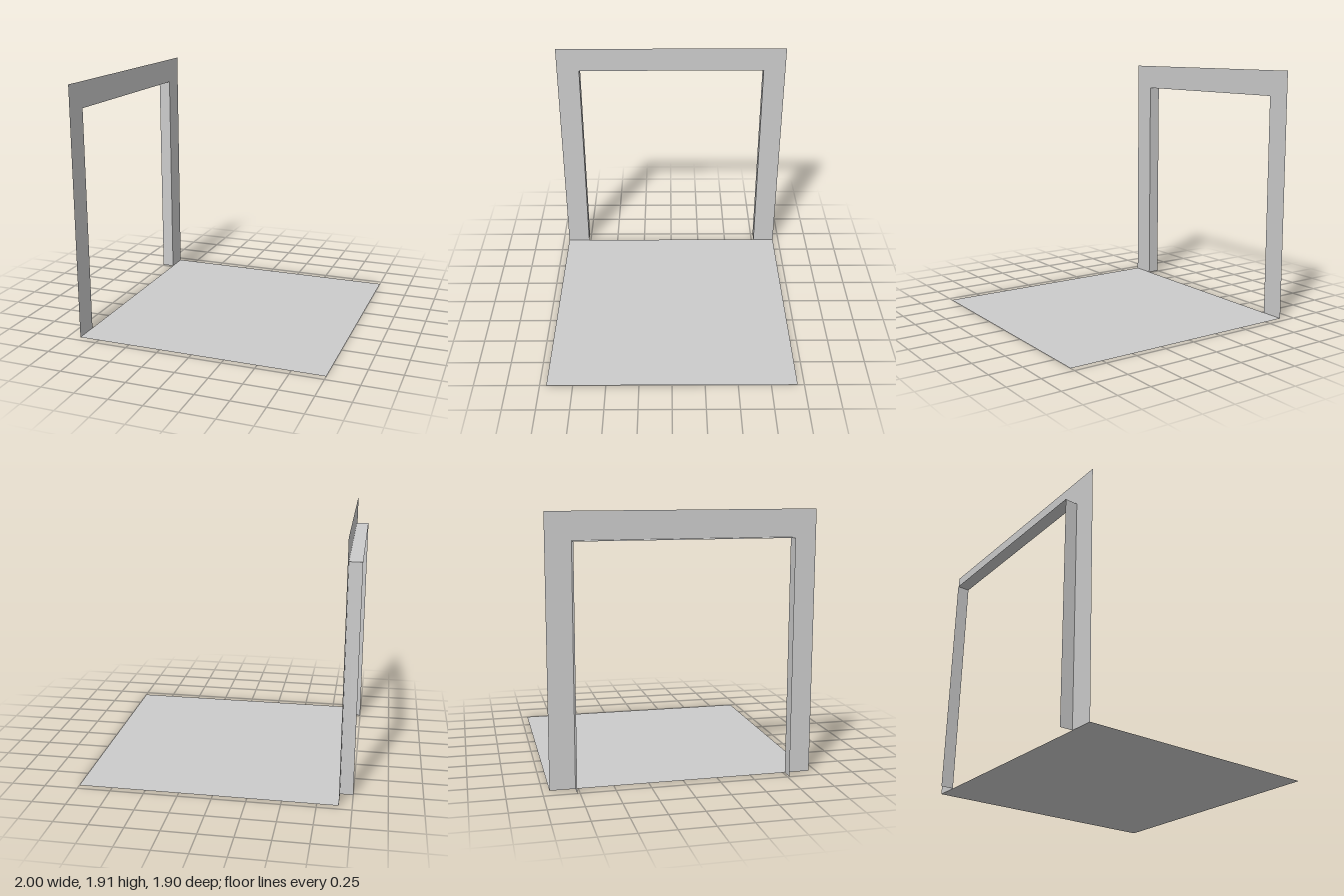
import * as THREE from 'three';

const WALL_X = -0.905, BACK_X = -1, FLOOR_END = 1; // x positions
const HALF = 0.95, TOP = 1.91;                     // wall half width and height
const Z0 = -0.77, Z1 = 0.765, LINTEL = 1.715;      // opening

export function createModel() {
  const group = new THREE.Group();
  const material = new THREE.MeshStandardMaterial({
    color: 0xcccccc, flatShading: true, side: THREE.DoubleSide,
  });
  const add = (name, geometry, x, y, z) => {
    const mesh = new THREE.Mesh(geometry, material);
    mesh.name = name;
    mesh.position.set(x, y, z);
    group.add(mesh);
  };

  // Square floor sheet
  const floorWidth = FLOOR_END - WALL_X;
  add('floor', new THREE.PlaneGeometry(floorWidth, HALF * 2).rotateX(-Math.PI / 2),
    (FLOOR_END + WALL_X) / 2, 0, 0);

  // Thin wall around the doorway, facing +x (shape x becomes -z)
  const outline = [
    [-HALF, 0], [-Z1, 0], [-Z1, LINTEL], [-Z0, LINTEL],
    [-Z0, 0], [HALF, 0], [HALF, TOP], [-HALF, TOP],
  ].map(([x, y]) => new THREE.Vector2(x, y));
  add('doorwayWall', new THREE.ShapeGeometry(new THREE.Shape(outline)).rotateY(Math.PI / 2),
    WALL_X, 0, 0);

  // Reveals lining the opening, facing inwards
  const depth = WALL_X - BACK_X, midX = (WALL_X + BACK_X) / 2;
  add('frontJamb', new THREE.PlaneGeometry(depth, LINTEL).rotateY(Math.PI), midX, LINTEL / 2, Z1);
  add('backJamb', new THREE.PlaneGeometry(depth, LINTEL), midX, LINTEL / 2, Z0);
  add('lintelSoffit', new THREE.PlaneGeometry(depth, Z1 - Z0).rotateX(Math.PI / 2),
    midX, LINTEL, (Z0 + Z1) / 2);

  return group;
}
